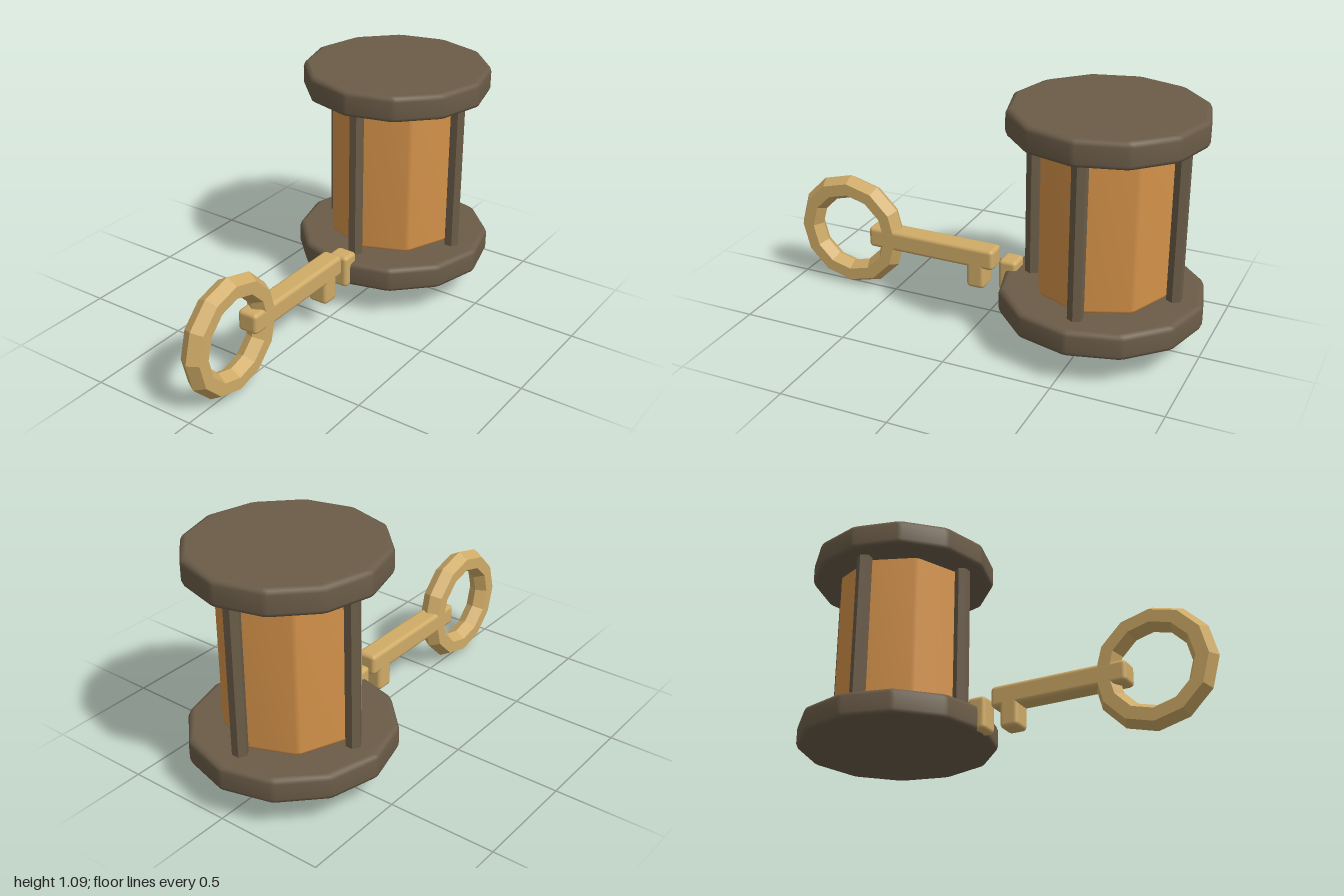
import * as THREE from 'three';
import { mergeVertices } from 'three/addons/utils/BufferGeometryUtils.js';
import { RoundedBoxGeometry } from 'three/addons/geometries/RoundedBoxGeometry.js';

const material = (name, color, extra = {}) => {
  const m = new THREE.MeshStandardMaterial({ color, ...extra });
  m.name = name;
  return m;
};

// Upright regular prism with softened edges, area-weighted smooth normals
function softPrism(sides, radius, y0, y1, bevel) {
  const corner = (i) => new THREE.Vector2(0, radius).rotateAround(new THREE.Vector2(), (i / sides) * Math.PI * 2);
  const edge = 2 * radius * Math.sin(Math.PI / sides);
  const t = 0.012 / edge;
  const points = [];
  for (let i = 0; i < sides; i++) {
    points.push(corner(i).lerp(corner(i - 1), t), corner(i).lerp(corner(i + 1), t));
  }
  let geo = new THREE.ExtrudeGeometry(new THREE.Shape(points), {
    depth: y1 - y0 - 2 * bevel,
    bevelThickness: bevel, bevelSize: bevel, bevelOffset: -bevel, bevelSegments: 2,
  });
  geo.rotateX(-Math.PI / 2).translate(0, y0 + bevel, 0);
  geo.deleteAttribute('normal');
  geo.deleteAttribute('uv');
  geo = mergeVertices(geo, 1e-5);
  geo.computeVertexNormals();
  return geo;
}

export function createModel() {
  const wood = material('dark wood', 0x6b5c48);
  const post = material('dark wood post', 0x6b5c48, { flatShading: true });
  const amber = material('amber', 0xd39149);
  const brass = material('brass', 0xcfab67);
  const brassFlat = material('faceted brass', 0xcfab67, { flatShading: true });

  const model = new THREE.Group();
  const add = (parent, name, geo, mat, x = 0, y = 0, z = 0) => {
    const mesh = new THREE.Mesh(geo, mat);
    mesh.name = name;
    mesh.position.set(x, y, z);
    parent.add(mesh);
    return mesh;
  };

  // Lantern: two discs, an eight-sided core and four posts
  const lantern = new THREE.Group();
  lantern.name = 'lantern';
  lantern.position.x = 0.541;
  model.add(lantern);
  add(lantern, 'baseDisc', softPrism(12, 0.46, 0.145, 0.263, 0.022), wood);
  add(lantern, 'topDisc', softPrism(12, 0.435, 0.98, 1.1, 0.022), wood);
  add(lantern, 'amberCore', softPrism(8, 0.302, 0.267, 1.01, 0.018), amber);
  const postGeo = new THREE.CylinderGeometry(0.036, 0.036, 0.76, 6);
  for (let i = 0; i < 4; i++) {
    const a = (i * Math.PI) / 2;
    add(lantern, 'post', postGeo, post, 0.33 * Math.cos(a), 0.62, 0.33 * Math.sin(a));
  }

  // Key: faceted ring, shaft and two teeth
  const key = new THREE.Group();
  key.name = 'key';
  model.add(key);
  add(key, 'keyRing', new THREE.TorusGeometry(0.222, 0.057, 6, 12), brassFlat, -0.722, 0.285);
  const bar = (name, x0, x1, y0, y1) => add(key, name,
    new RoundedBoxGeometry(x1 - x0, y1 - y0, 0.1, 2, 0.019), brass, (x0 + x1) / 2, (y0 + y1) / 2);
  bar('keyShaft', -0.61, 0.032, 0.236, 0.336);
  bar('keyTooth', -0.102, -0.013, 0.133, 0.29);
  bar('keyEndTooth', 0.06, 0.148, 0.147, 0.305);

  return model;
}
